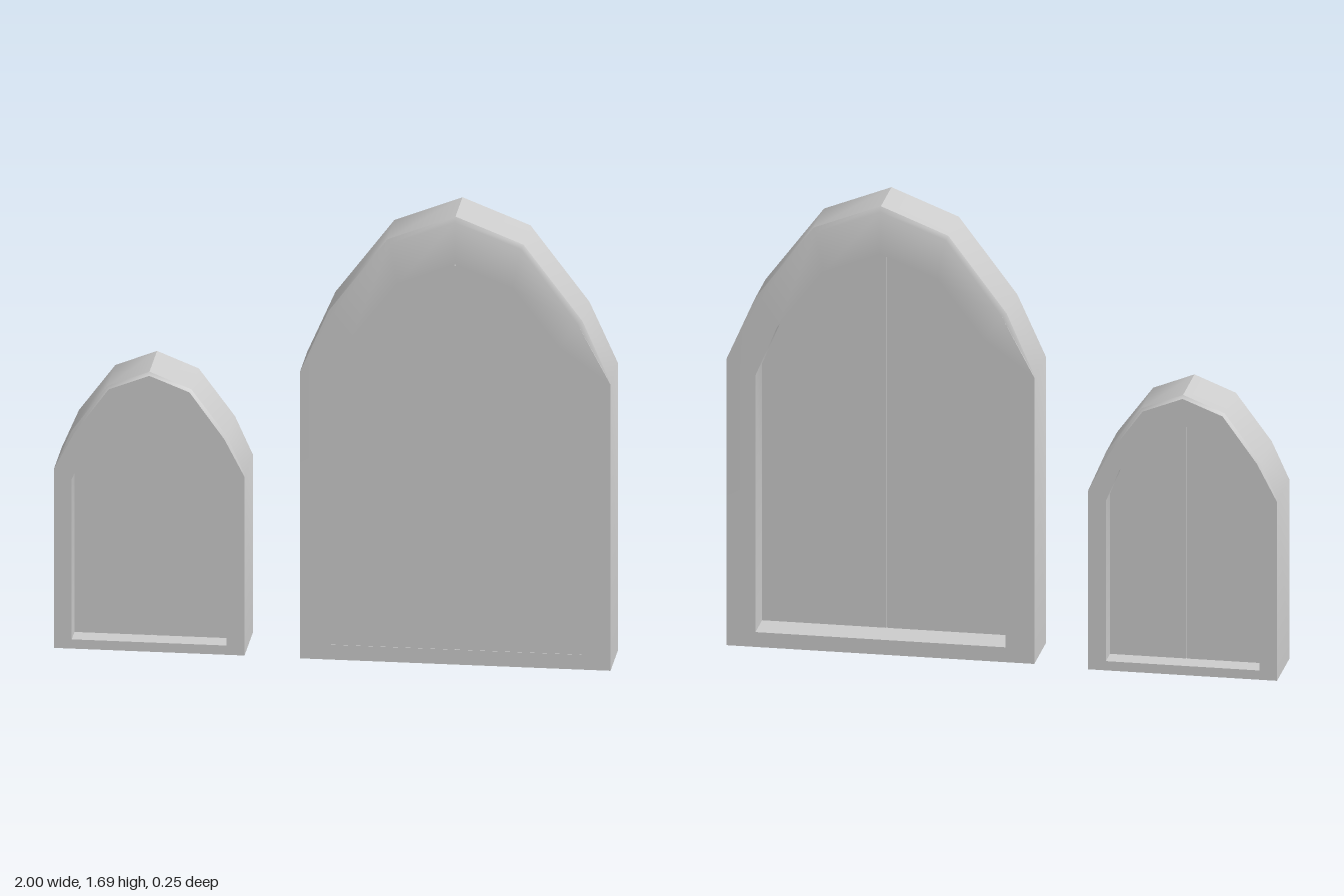
import * as THREE from 'three';
import { toCreasedNormals } from 'three/addons/utils/BufferGeometryUtils.js';

const grey = () => new THREE.MeshStandardMaterial({ color: 0xcccccc });

// Right half of each pointed arch, from the foot up to the apex
const OUTER = [[0.3425, 0], [0.3425, 0.675], [0.28, 0.82], [0.15, 0.995], [0, 1.055]];
const CHAMFER = [[0.3425, 0], [0.3425, 0.675], [0.27, 0.814], [0.145, 0.986], [0, 1.043]];
const INNER = [[0.278, 0.035], [0.278, 0.64], [0.23, 0.757], [0.127, 0.893], [0, 0.944]];

// Full counter-clockwise loop of a mirrored half outline
function mirrorLoop(half) {
  return [...half, ...half.slice(0, -1).reverse().map(([x, y]) => [-x, y])];
}

// Closed loft: each ring joins the next, and the last joins the first
function frameGeometry(sx, sy, zBack, zFront) {
  const c = 0.01;
  const rings = [
    [INNER, zBack], [CHAMFER, zBack], [OUTER, zBack + c],
    [OUTER, zFront - c], [CHAMFER, zFront], [INNER, zFront],
  ];
  const pos = [], index = [];
  const n = OUTER.length * 2 - 1;
  rings.forEach(([half, z], r) => {
    // the chamfer dies out at the feet, which stay square
    mirrorLoop(half).forEach(([x, y], i) => {
      const square = i < 1 || i > n - 2;
      const zz = square && half === OUTER ? (z < (zBack + zFront) / 2 ? zBack : zFront) : z;
      pos.push(x * sx, y * sy, zz);
    });
    const next = (r + 1) % rings.length;
    for (let i = 0; i < n; i++) {
      const j = (i + 1) % n;
      const a = r * n + i, b = r * n + j, d = next * n + i, e = next * n + j;
      index.push(a, b, e, a, e, d);
    }
  });
  const g = new THREE.BufferGeometry();
  g.setAttribute('position', new THREE.Float32BufferAttribute(pos, 3));
  g.setIndex(index);
  return toCreasedNormals(g, THREE.MathUtils.degToRad(40));
}

// One half of the infill panel; side is 1 or -1
function leafGeometry(sx, sy, side, zBack, zFront) {
  const gap = 0.002;
  const pts = [[gap, INNER[0][1]], ...INNER.slice(0, -1), [gap, INNER[4][1]]];
  const shape = new THREE.Shape(pts.map(([x, y]) => new THREE.Vector2(side * x * sx, y * sy)));
  const g = new THREE.ExtrudeGeometry(shape, { depth: zFront - zBack, bevelEnabled: false });
  return g.translate(0, 0, zBack);
}

function archedWindow({ name, x, sx, sy, frame, panel }) {
  const group = new THREE.Group();
  group.name = name;
  group.position.x = x;
  const add = (partName, geometry) => {
    const mesh = new THREE.Mesh(geometry, grey());
    mesh.name = partName;
    group.add(mesh);
    return mesh;
  };
  add('frame', frameGeometry(sx, sy, ...frame));
  add('leftLeaf', leafGeometry(sx, sy, 1, ...panel));
  add('rightLeaf', leafGeometry(sx, sy, -1, ...panel));
  // strip closing the seam between the two leaves
  const h = 0.905 * sy;
  const seam = add('seamStrip', new THREE.BoxGeometry(0.02, h, panel[1] - panel[0] - 0.01));
  seam.position.set(0, 0.035 * sy + h / 2, (panel[0] + panel[1]) / 2);
  return group;
}

export function createModel() {
  const model = new THREE.Group();
  model.name = 'archedWindows';
  model.add(
    // small window, recessed on both faces
    archedWindow({
      name: 'smallWindow', x: -0.6575, sx: 1, sy: 1,
      frame: [-0.125, 0.12], panel: [-0.045, 0.04],
    }),
    // large window, panel almost flush with the front
    archedWindow({
      name: 'largeWindow', x: 0.442, sx: 1.629, sy: 1.602,
      frame: [-0.103, 0.126], panel: [0.027, 0.124],
    }),
  );
  return model;
}
